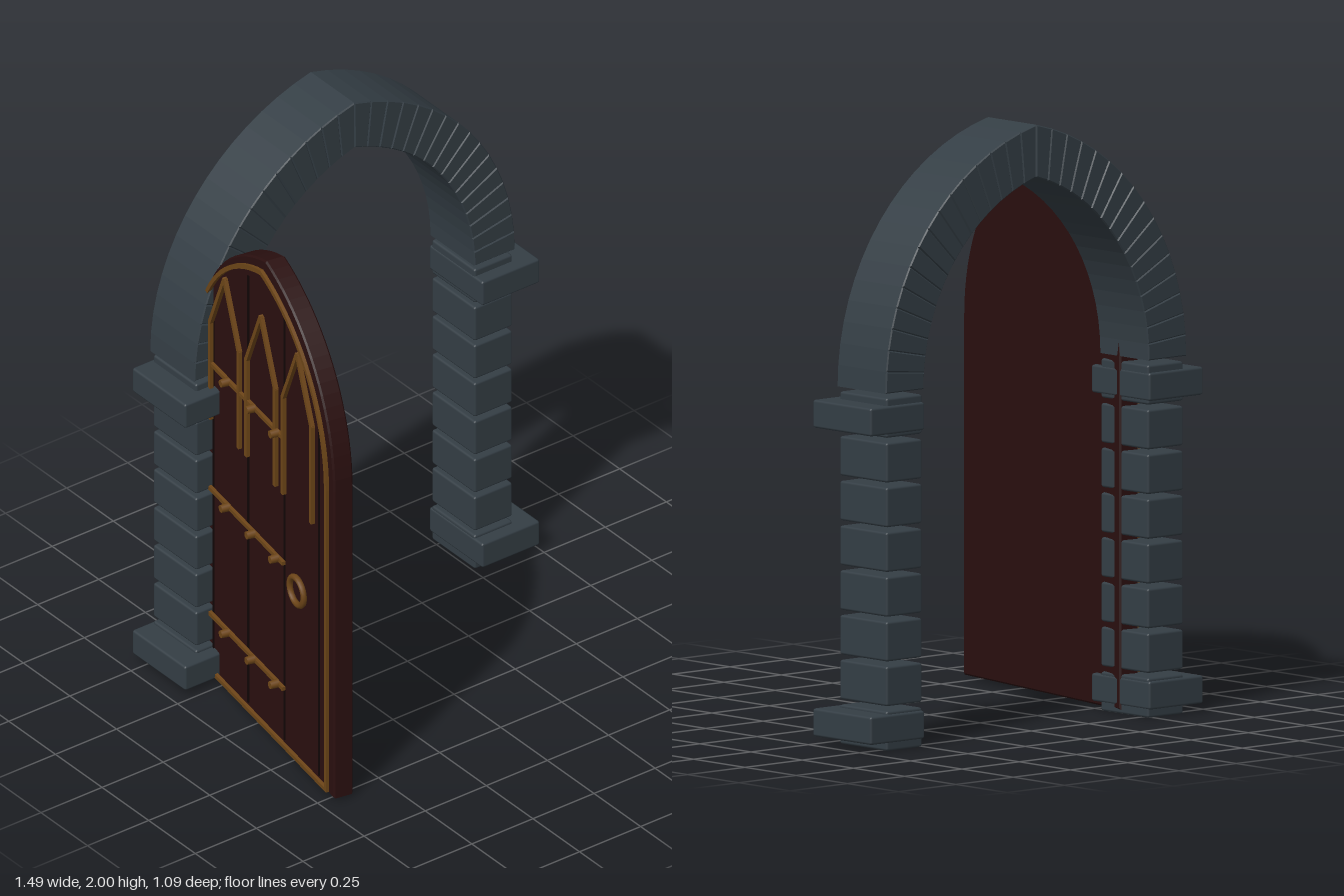
import * as THREE from 'three';
import { RoundedBoxGeometry } from 'three/addons/geometries/RoundedBoxGeometry.js';

const CX = 0.015; // centre line of the archway
const stone = new THREE.MeshStandardMaterial({ color: 0x343e45 });
const wood = new THREE.MeshStandardMaterial({ color: 0x2a0f0f });
const seam = new THREE.MeshStandardMaterial({ color: 0x120606 });
const bronze = new THREE.MeshStandardMaterial({ color: 0x6e4618 });
stone.name = 'stone';
wood.name = 'darkWood';
seam.name = 'plankSeam';
bronze.name = 'bronze';

function add(parent, name, geometry, material, x = 0, y = 0, z = 0) {
  const mesh = new THREE.Mesh(geometry, material);
  mesh.name = name;
  mesh.position.set(x, y, z);
  parent.add(mesh);
  return mesh;
}

// Extrusion whose bevel stays inside the outline and inside the given depth
function slab(shape, depth, bevel) {
  return new THREE.ExtrudeGeometry(shape, {
    depth: depth - 2 * bevel, bevelEnabled: true, bevelSegments: 1,
    bevelSize: bevel, bevelThickness: bevel, bevelOffset: -bevel,
  }).translate(0, 0, bevel);
}

// Pointed-arch outline centred on x = cx
function pointedOutline(cx, half, bottom, spring, rise, steps = 20) {
  const c = (rise * rise - half * half) / (2 * half);
  const r = half + c;
  const end = Math.acos(c / r);
  const right = [], left = [];
  for (let i = 0; i <= steps; i++) {
    const a = (end * i) / steps;
    const x = r * Math.cos(a) - c, y = spring + r * Math.sin(a);
    right.push(new THREE.Vector2(cx + x, y));
    if (i < steps) left.unshift(new THREE.Vector2(cx - x, y));
  }
  return [new THREE.Vector2(cx - half, bottom), new THREE.Vector2(cx + half, bottom), ...right, ...left];
}

// Pillar of separate blocks with a base and a capital
function makePillar(side) {
  const g = new THREE.Group();
  g.name = side > 0 ? 'leftPillar' : 'rightPillar';
  const block = new RoundedBoxGeometry(0.155, 0.13, 0.232, 1, 0.008);
  for (let i = 0; i < 8; i++) add(g, 'pillarBlock', block, stone, CX + side * 0.57, 0.067 + i * 0.147, -0.42);
  const cap = new RoundedBoxGeometry(0.236, 0.092, 0.286, 1, 0.008);
  add(g, 'pillarBase', cap, stone, CX + side * 0.608, 0.076, -0.403);
  add(g, 'pillarCapital', cap, stone, CX + side * 0.608, 1.09, -0.403);
  return g;
}

// Pointed arch of wedge stones
function makeArch() {
  const g = new THREE.Group();
  g.name = 'arch';
  const c = 0.186, inner = 0.676, outer = 0.843, spring = 1.178, count = 16;
  const point = (r, t, side) => {
    const a = Math.acos(c / r) * t;
    return new THREE.Vector2(CX + side * (r * Math.cos(a) - c), spring + r * Math.sin(a));
  };
  for (const side of [1, -1]) {
    for (let i = 0; i < count; i++) {
      const t0 = i / count, t1 = (i + 1) / count;
      const shape = new THREE.Shape([
        point(inner, t0, side), point(outer, t0, side), point(outer, t1, side), point(inner, t1, side),
      ]);
      add(g, 'archStone', slab(shape, 0.24, 0.004), stone, 0, 0, -0.542);
    }
  }
  return g;
}

// Door leaf: x runs from hinge to free edge, z = 0 is the decorated face
function makeDoor() {
  const g = new THREE.Group();
  g.name = 'door';
  const W = 0.96, mid = W / 2;
  const leaf = new THREE.Shape(pointedOutline(mid, mid, 0.015, 1.2, 0.622));
  add(g, 'doorLeaf', slab(leaf, 0.072, 0.006), wood, 0, 0, -0.072);

  // Seams between planks
  for (const [x, top] of [[0.12, 1.45], [0.3625, 1.7], [0.6175, 1.7], [0.86, 1.4]]) {
    add(g, 'plankSeam', new THREE.BoxGeometry(0.008, top - 0.05, 0.004), seam, x, (top + 0.05) / 2, 0.002);
  }

  // Border following the edge of the leaf
  const border = new THREE.Shape(pointedOutline(mid, mid - 0.018, 0.035, 1.2, 0.592));
  border.holes.push(new THREE.Path(pointedOutline(mid, mid - 0.032, 0.049, 1.2, 0.574)));
  add(g, 'doorBorder', new THREE.ExtrudeGeometry(border, { depth: 0.012, bevelEnabled: false }), bronze, 0, 0, 0.008);

  // Three lancet frames, open at the bottom
  const bar = (x0, y0, x1, y1) => {
    const len = Math.hypot(x1 - x0, y1 - y0) + 0.008;
    const m = add(g, 'lancetBar', new THREE.BoxGeometry(0.015, len, 0.014), bronze, (x0 + x1) / 2, (y0 + y1) / 2, 0.015);
    m.rotation.z = -Math.atan2(x1 - x0, y1 - y0);
  };
  for (const k of [-1, 0, 1]) {
    const x = mid + k * 0.255;
    for (const s of [-0.1, 0.1]) {
      bar(x + s, 1.02, x + s, 1.39);
      bar(x + s, 1.39, x, 1.61);
    }
  }

  // Straps with studs
  const stud = new THREE.CylinderGeometry(0.013, 0.015, 0.03, 10).rotateX(Math.PI / 2);
  for (const y of [0.26, 0.745, 1.23]) {
    add(g, 'strap', new THREE.BoxGeometry(0.62, 0.014, 0.012), bronze, 0.325, y, 0.014);
    for (const x of [0.25, 0.43, 0.595]) add(g, 'stud', stud, bronze, x, y, 0.03);
  }

  // Ring handle
  add(g, 'ringHandle', new THREE.TorusGeometry(0.049, 0.011, 8, 24), bronze, 0.795, 0.74, 0.05);

  g.position.set(-0.543, 0, -0.417);
  g.rotation.y = -THREE.MathUtils.degToRad(99.73);
  return g;
}

export function createModel() {
  const model = new THREE.Group();
  model.name = 'archedDoorway';
  model.add(makePillar(1), makePillar(-1), makeArch(), makeDoor());
  return model;
}
